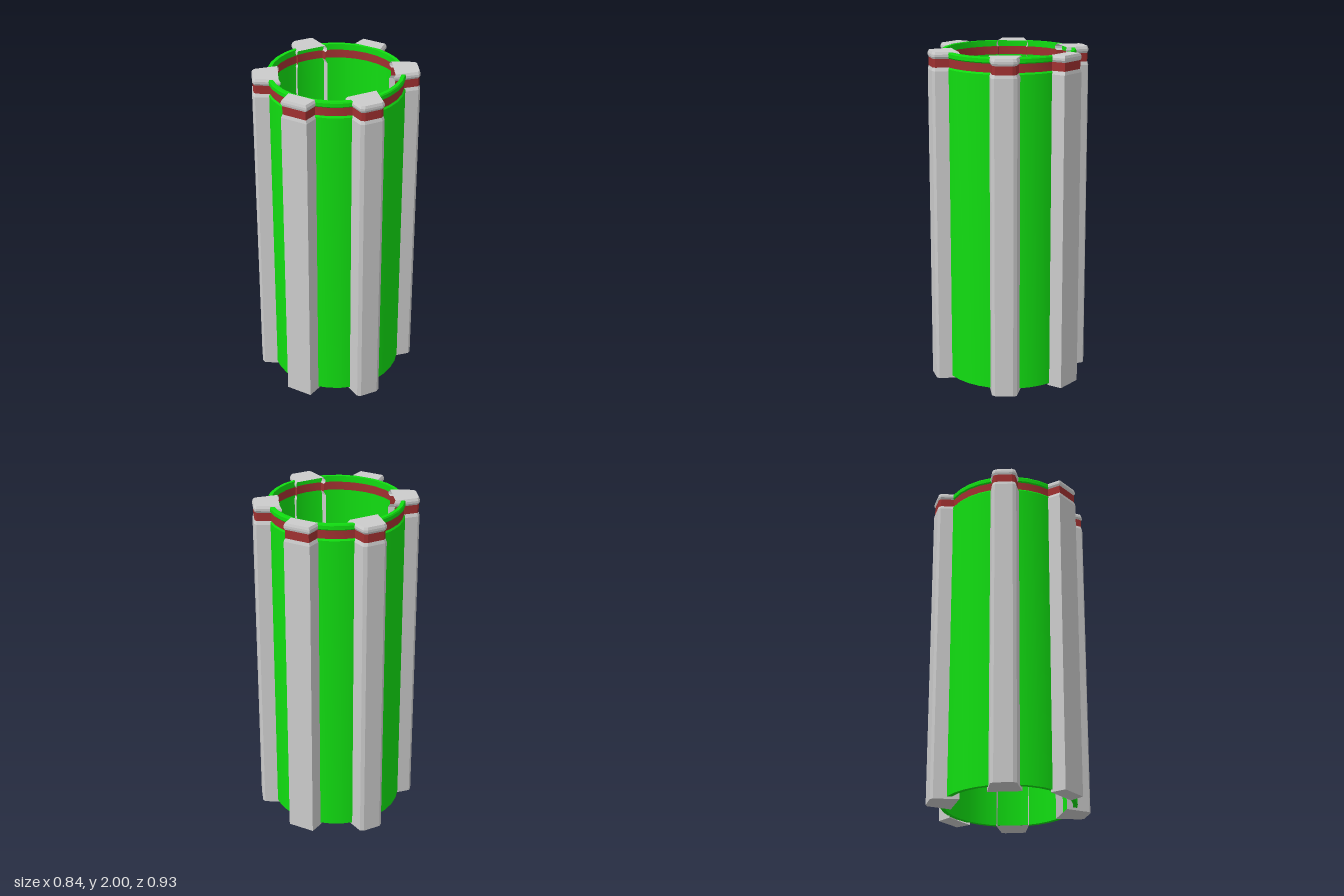
import * as THREE from 'three';
import { toCreasedNormals } from 'three/addons/utils/BufferGeometryUtils.js';

const material = (color) => new THREE.MeshStandardMaterial({ color, side: THREE.DoubleSide });
const grey = material(0xcccccc);
const green = material(0x11dd11);
const red = material(0xa03030);

function addMesh(parent, name, geometry, mat) {
  const mesh = new THREE.Mesh(geometry, mat);
  mesh.name = name;
  parent.add(mesh);
}

// Shrinks an [x, z] outline about its centre
function shrink(outline, s) {
  const cx = outline.reduce((t, p) => t + p[0], 0) / outline.length;
  const cz = outline.reduce((t, p) => t + p[1], 0) / outline.length;
  return outline.map(([x, z]) => [cx + (x - cx) * s, cz + (z - cz) * s]);
}

// Walls through a stack of [height, scale] levels, open on the inner side;
// optional caps close the bottom and the top
function shell(outline, levels, bottomCap = false, topCap = false) {
  const pos = [];
  const rings = levels.map(([y, s]) => shrink(outline, s).map(([x, z]) => [x, y, z]));
  for (let k = 0; k < rings.length - 1; k++) {
    for (let i = 0; i < outline.length - 1; i++) {
      const a = rings[k][i], b = rings[k][i + 1];
      const c = rings[k + 1][i + 1], d = rings[k + 1][i];
      pos.push(...a, ...b, ...c, ...a, ...c, ...d);
    }
  }
  const first = rings[0], last = rings[rings.length - 1];
  for (let i = 1; i < outline.length - 1; i++) {
    if (bottomCap) pos.push(...first[0], ...first[i + 1], ...first[i]);
    if (topCap) pos.push(...last[0], ...last[i], ...last[i + 1]);
  }
  const g = new THREE.BufferGeometry();
  g.setAttribute('position', new THREE.Float32BufferAttribute(pos, 3));
  g.computeVertexNormals();
  return g;
}

// Pillar with a chamfered neck, a red band in the groove and a bevelled head
function pillar(name, outline) {
  const group = new THREE.Group();
  group.name = name;
  addMesh(group, 'pillarShaft', shell(outline, [[0, 1], [1.89, 1], [1.91, 0.91]], true), grey);
  addMesh(group, 'pillarBand', shell(outline, [[1.91, 0.91], [1.96, 0.91]]), red);
  addMesh(group, 'pillarHead',
    shell(outline, [[1.96, 0.91], [1.972, 0.99], [1.985, 0.99], [2, 0.9]], false, true), grey);
  return group;
}

function lathe(points) {
  const g = new THREE.LatheGeometry(points.map(([r, y]) => new THREE.Vector2(r, y)), 32);
  return toCreasedNormals(g, 0.45);
}

export function createModel() {
  const model = new THREE.Group();
  model.name = 'ribbedTube';

  // Hollow tube: body, recessed band and rim
  const inner = 0.37, outer = 0.395, groove = 0.388;
  addMesh(model, 'tubeBody',
    lathe([[inner, 1.91], [inner, 0.015], [outer, 0.015], [outer, 1.9], [groove, 1.91]]), green);
  addMesh(model, 'tubeBandOutside', lathe([[groove, 1.91], [groove, 1.96]]), red);
  addMesh(model, 'tubeBandInside', lathe([[inner, 1.96], [inner, 1.91]]), red);
  addMesh(model, 'tubeRim',
    lathe([[groove, 1.96], [outer, 1.967], [outer, 1.988], [0.391, 1.996], [inner, 1.996], [inner, 1.96]]), green);

  // Outlines run left to right as seen from outside
  const middle = [[-0.092, 0.373], [-0.081, 0.465], [0.081, 0.465], [0.092, 0.373]];
  const corner = [[0.205, 0.262], [0.336, 0.328], [0.358, 0.318], [0.42, 0.23], [0.42, 0.207], [0.316, 0.101]];
  const mirrored = (outline, sx, sz) => {
    const pts = outline.map(([x, z]) => [x * sx, z * sz]);
    return sx * sz < 0 ? pts.reverse() : pts;
  };
  for (const sz of [1, -1]) {
    const end = sz > 0 ? 'front' : 'back';
    model.add(pillar(end + 'Pillar', mirrored(middle, 1, sz)));
    for (const sx of [1, -1]) {
      model.add(pillar(end + (sx > 0 ? 'Left' : 'Right') + 'Pillar', mirrored(corner, sx, sz)));
    }
  }
  return model;
}
